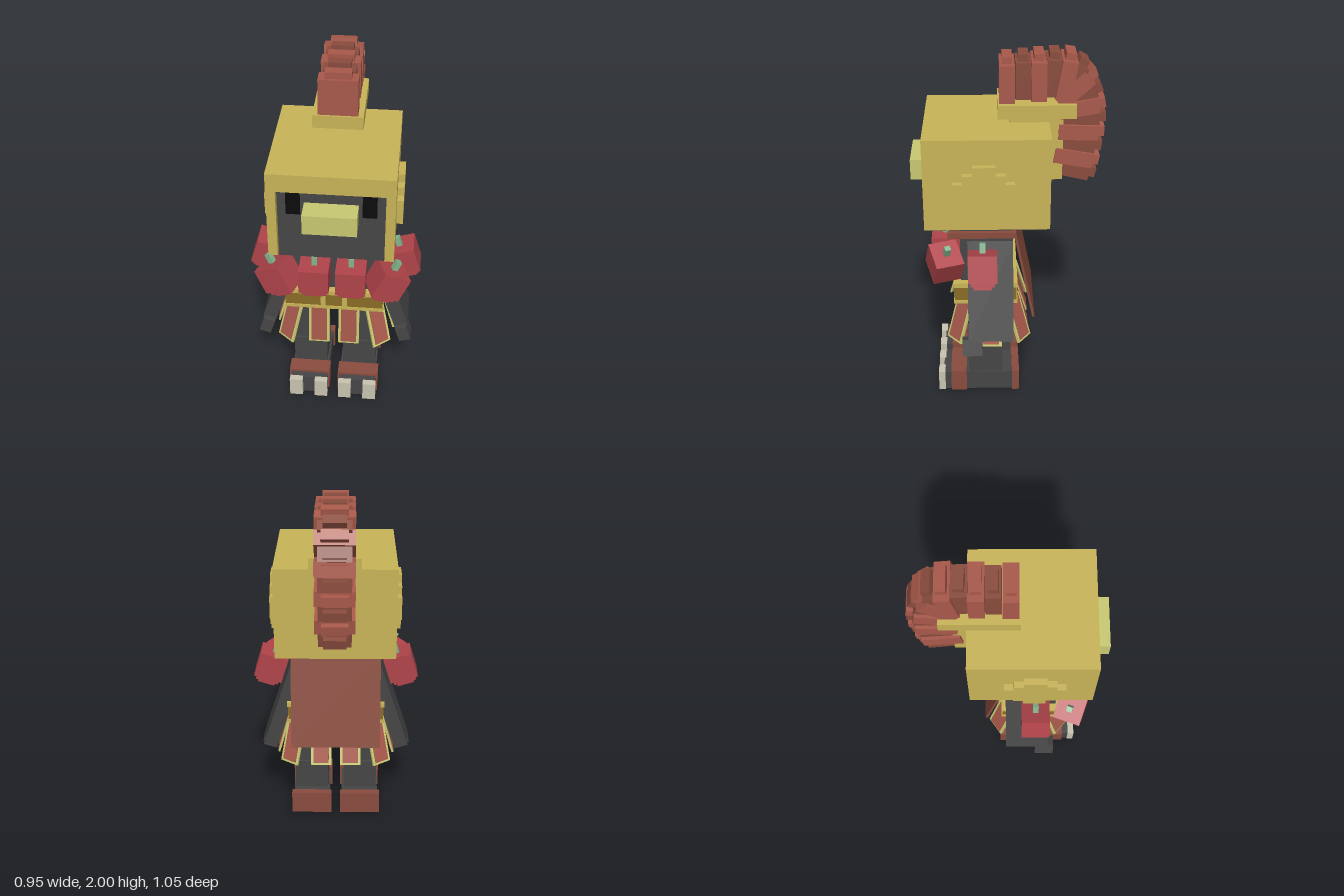
import * as THREE from 'three';

const mat = (name, color) => {
  const m = new THREE.MeshStandardMaterial({ color });
  m.name = name;
  return m;
};

export function createModel() {
  const gold = mat('gold', 0xc9b458), pale = mat('paleYellow', 0xc9ca72);
  const dark = mat('charcoal', 0x464646), black = mat('black', 0x0c0c0c);
  const red = mat('fruitRed', 0xb0444a), rust = mat('rust', 0xa9594b);
  const brown = mat('brown', 0x8a4c3e), green = mat('stemGreen', 0x82b48c);
  const bone = mat('bone', 0xc9c4b0), ochre = mat('ochre', 0x8a6c26);

  const model = new THREE.Group();
  model.name = 'armouredFigure';

  // box given by its low and high limits on each axis
  const box = (name, m, x0, x1, y0, y1, z0, z1, parent = model) => {
    const mesh = new THREE.Mesh(new THREE.BoxGeometry(x1 - x0, y1 - y0, z1 - z0), m);
    mesh.position.set((x0 + x1) / 2, (y0 + y1) / 2, (z0 + z1) / 2);
    mesh.name = name;
    parent.add(mesh);
    return mesh;
  };
  // the same box on both sides of the body
  const pair = (name, m, x0, x1, ...rest) => {
    box(name + 'Left', m, x0, x1, ...rest);
    box(name + 'Right', m, -x1, -x0, ...rest);
  };
  const group = (name, x, y, z, rx = 0, ry = 0, rz = 0) => {
    const g = new THREE.Group();
    g.name = name;
    g.position.set(x, y, z);
    g.rotation.set(rx, ry, rz, 'YXZ');
    model.add(g);
    return g;
  };

  // head and face
  box('head', dark, -0.28, 0.28, 1.08, 1.52, -0.15, 0.41);
  box('snout', pale, -0.14, 0.14, 1.32, 1.435, 0.4, 0.525);
  pair('eye', black, 0.16, 0.235, 1.36, 1.51, 0.408, 0.415);

  // helmet shell, open at the front
  box('helmetTop', gold, -0.33, 0.33, 1.52, 1.625, -0.22, 0.45);
  pair('helmetSide', gold, 0.28, 0.33, 1.11, 1.52, -0.22, 0.45);
  box('helmetBack', gold, -0.28, 0.28, 1.11, 1.52, -0.22, -0.15);

  // stepped ear discs
  const quarter = [[0.162, 0.066], [0.114, 0.066], [0.114, 0.114], [0.06, 0.114], [0.06, 0.162]];
  const flip = (sx, sy, rev) => {
    const q = quarter.map(([a, b]) => new THREE.Vector2(a * sx, b * sy));
    return rev ? q.reverse() : q;
  };
  const earShape = new THREE.Shape([
    ...flip(1, 1), ...flip(-1, 1, true), ...flip(-1, -1), ...flip(1, -1, true)]);
  const earGeo = new THREE.ExtrudeGeometry(earShape, { depth: 0.04, bevelEnabled: false });
  for (const s of [1, -1]) {
    const ear = new THREE.Mesh(earGeo, gold);
    ear.name = s > 0 ? 'earDiscLeft' : 'earDiscRight';
    ear.position.set(s * 0.325, 1.325, 0.13);
    ear.rotation.y = s * Math.PI / 2;
    model.add(ear);
  }

  // crest mount
  box('crestNeck', gold, -0.09, 0.09, 1.625, 1.66, -0.295, -0.01);
  box('crestBackMount', gold, -0.09, 0.09, 1.29, 1.66, -0.295, -0.22);
  box('crestBand', gold, -0.135, 0.135, 1.66, 1.735, -0.36, 0.055);

  // crest plumes: z and y of the outer end, backward lean in degrees
  const plumes = [
    [0.005, 1.94, 0], [-0.08, 1.95, 0], [-0.163, 1.955, 0], [-0.243, 1.962, 2],
    [-0.325, 1.958, 10], [-0.385, 1.925, 30], [-0.428, 1.87, 48], [-0.46, 1.797, 65],
    [-0.48, 1.72, 80], [-0.485, 1.643, 88], [-0.48, 1.563, 92], [-0.47, 1.48, 97],
    [-0.458, 1.4, 100], [-0.443, 1.32, 103]];
  plumes.forEach(([z, y, lean], i) => {
    const wide = i % 2 === 0, m = wide ? rust : brown;
    const w = wide ? 0.105 : 0.087, len = wide ? 0.21 : 0.2;
    const g = group('crestPlume' + (i + 1), 0, y, z, -lean * Math.PI / 180);
    box('plume', m, -w, w, -len, 0, -0.041, 0.041, g);
    box('plumeTip', m, w > 0.1 ? -0.07 : -0.06, w > 0.1 ? 0.07 : 0.06, -0.01, 0.037, -0.027, 0.027, g);
  });

  // torso, collar and cape
  box('torso', dark, -0.24, 0.24, 0.6, 1.08, -0.02, 0.265);
  box('collar', brown, -0.265, 0.265, 1.02, 1.055, -0.04, 0.33);
  const cape = group('cape', 0, 1.045, -0.035, 0.195);
  box('capeSheet', brown, -0.255, 0.255, -0.55, 0, -0.007, 0.007, cape);

  // belt
  box('belt', ochre, -0.275, 0.275, 0.63, 0.73, -0.045, 0.3);
  box('beltTopRim', gold, -0.28, 0.28, 0.718, 0.745, -0.05, 0.305);
  box('beltLowerRim', gold, -0.28, 0.28, 0.615, 0.635, -0.05, 0.305);
  pair('beltFrontBar', gold, 0.046, 0.074, 0.63, 0.72, 0.29, 0.305);
  pair('beltBackBar', gold, 0.046, 0.074, 0.63, 0.72, -0.05, -0.035);

  // bordered skirt panels: x, z, yaw and outward tilt in degrees
  const panels = [
    [0.085, 0.283, 0, 4], [0.222, 0.24, 40, 19], [0.27, 0.1, 90, 15],
    [0.222, -0.02, 145, 18], [0.085, -0.03, 180, 17]];
  for (const s of [1, -1]) {
    panels.forEach(([x, z, yaw, tilt], i) => {
      const r = Math.PI / 180;
      const g = group('skirtPanel' + (i + 1) + (s > 0 ? 'Left' : 'Right'),
        s * x, 0.625, z, -tilt * r, s * yaw * r);
      box('panelBorder', pale, -0.06, 0.06, -0.27, 0, -0.006, 0.006, g);
      box('panelCloth', rust, -0.045, 0.045, -0.257, 0, -0.01, 0.01, g);
    });
  }

  // arms and hands, leaning outward
  for (const s of [1, -1]) {
    const g = group(s > 0 ? 'armLeft' : 'armRight', s * 0.212, 0.985, 0.1, 0, 0, s * 0.31);
    box('arm', dark, -0.04, 0.04, -0.57, 0, -0.125, 0.125, g);
    box('hand', dark, -0.034, 0.034, -0.655, -0.56, 0.05, 0.16, g);
  }

  // round stepped fruits worn over the chest and shoulders
  const fruit = (name, x, y, z, yaw, roll) => {
    const g = group(name, x, y, z, 0, yaw, roll);
    box('fruitBody', red, -0.082, 0.082, -0.065, 0.085, -0.078, 0.078, g);
    box('fruitStep', red, -0.066, 0.066, -0.088, -0.06, -0.064, 0.064, g);
    box('fruitBase', red, -0.05, 0.05, -0.108, -0.085, -0.05, 0.05, g);
    box('fruitStem', green, -0.015, 0.015, 0.08, 0.14, -0.016, 0.016, g);
  };
  for (const s of [1, -1]) {
    const side = s > 0 ? 'Left' : 'Right';
    fruit('chestFruit' + side, s * 0.1, 0.893, 0.345, 0, 0);
    fruit('cornerFruit' + side, s * 0.295, 0.89, 0.35, s * 0.35, -s * 0.48);
    fruit('shoulderFruit' + side, s * 0.378, 0.9, 0.142, 0, s * 0.3);
  }

  // legs and feet
  pair('upperLeg', dark, 0.06, 0.23, 0.28, 0.62, 0.05, 0.215);
  pair('lowerLeg', dark, 0.047, 0.242, 0.1, 0.3, 0.035, 0.23);
  pair('foot', dark, 0.035, 0.25, 0.002, 0.12, -0.03, 0.378);
  pair('footBand', brown, 0.025, 0.262, 0, 0.135, 0.245, 0.335);
  pair('heelGuard', brown, 0.025, 0.262, 0, 0.135, -0.062, -0.02);
  pair('innerClaw', bone, 0.032, 0.107, 0, 0.122, 0.37, 0.408);
  pair('outerClaw', bone, 0.178, 0.254, 0, 0.122, 0.37, 0.408);

  return model;
}
